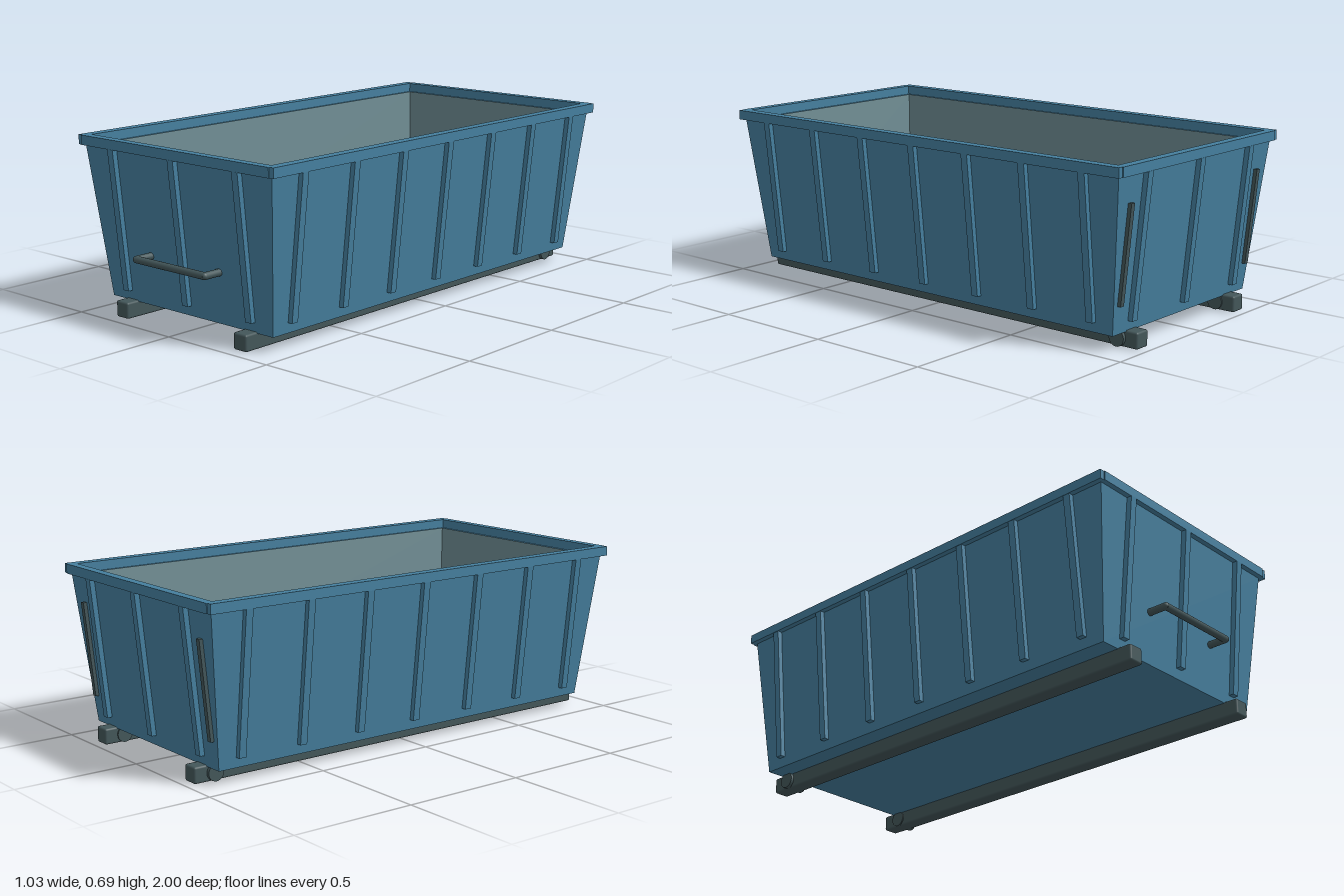
import * as THREE from 'three';
import { RoundedBoxGeometry } from 'three/addons/geometries/RoundedBoxGeometry.js';

const CZ = -0.01; // centre of the tub along z
const Y0 = 0.06, Y1 = 0.655;
const SLOPE = 0.106;

const material = (name, color) => {
  const m = new THREE.MeshStandardMaterial({ color });
  m.name = name;
  return m;
};

// Flat-faced skin through a series of rectangles [halfX, y, halfZ], optionally closed by a cap
function loft(rings, capFirst, capLast) {
  const pos = [];
  const corners = ([x, y, z]) => [[x, y, z], [x, y, -z], [-x, y, -z], [-x, y, z]];
  const quad = (a, b, c, d) => pos.push(...a, ...b, ...c, ...a, ...c, ...d);
  for (let i = 0; i + 1 < rings.length; i++) {
    const lo = corners(rings[i]), hi = corners(rings[i + 1]);
    for (let k = 0; k < 4; k++) {
      const n = (k + 1) % 4;
      quad(lo[k], lo[n], hi[n], hi[k]);
    }
  }
  if (capFirst) quad(...corners(rings[0]).reverse());
  if (capLast) quad(...corners(rings[rings.length - 1]));
  const g = new THREE.BufferGeometry();
  g.setAttribute('position', new THREE.Float32BufferAttribute(pos, 3));
  g.computeVertexNormals();
  return g;
}

// Upright bar leaning outward (+z) with the wall; z = 0 is the wall foot
function leaningBar(width, yLow, yHigh, proud) {
  const g = new THREE.BoxGeometry(width, yHigh - yLow, proud + 0.01);
  g.translate(0, (yLow + yHigh) / 2, (proud - 0.01) / 2);
  const p = g.attributes.position;
  for (let i = 0; i < p.count; i++) p.setZ(i, p.getZ(i) + (p.getY(i) - Y0) * SLOPE);
  g.computeVertexNormals();
  return g;
}

export function createModel() {
  const blue = material('blue paint', 0x457f9e);
  const grey = material('inner grey', 0x6b888e);
  const dark = material('dark steel', 0x435659);

  const model = new THREE.Group();
  model.name = 'skipContainer';
  const add = (name, geometry, mat, x = 0, y = 0, z = 0, parent = model) => {
    const mesh = new THREE.Mesh(geometry, mat);
    mesh.name = name;
    mesh.position.set(x, y, z);
    parent.add(mesh);
    return mesh;
  };

  // Tapered tub: painted outside with lip, grey lining inside
  add('tubShell', loft([[0.43, Y0, 0.903], [0.493, Y1, 0.965], [0.465, Y1, 0.937]], true, false), blue, 0, 0, CZ);
  add('tubLining', loft([[0.465, Y1, 0.937], [0.40, 0.09, 0.871]], false, true), grey, 0, 0, CZ);

  // Rim
  const rim = new THREE.Group();
  rim.name = 'rim';
  model.add(rim);
  for (const s of [-1, 1]) {
    add('rimSide', new THREE.BoxGeometry(0.04, 0.038, 1.962), blue, s * 0.495, 0.673, CZ, rim);
    add('rimEnd', new THREE.BoxGeometry(0.99, 0.038, 0.036), blue, 0, 0.673, CZ + s * 0.967, rim);
  }

  // Wall ribs
  const ribs = new THREE.Group();
  ribs.name = 'ribs';
  model.add(ribs);
  const ribGeo = leaningBar(0.03, 0.1, Y1, 0.02);
  for (const s of [-1, 1]) {
    for (let i = -3; i <= 3; i++) {
      add('sideRib', ribGeo, blue, s * 0.43, 0, CZ + i * 0.272, ribs).rotation.y = s * Math.PI / 2;
    }
    for (const x of [-0.33, 0, 0.33]) {
      add('endRib', ribGeo, blue, x, 0, CZ + s * 0.903, ribs).rotation.y = s > 0 ? 0 : Math.PI;
    }
  }

  // Upright grab bars at the back corners
  const grabGeo = leaningBar(0.02, 0.17, 0.55, 0.014);
  for (const s of [-1, 1]) {
    add('backGrabBar', grabGeo, dark, s * 0.41, 0, CZ - 0.903).rotation.y = Math.PI;
  }

  // Front pull handle: bar with two posts
  const handle = new THREE.Group();
  handle.name = 'frontHandle';
  model.add(handle);
  const r = 0.014;
  add('handleBar', new THREE.CylinderGeometry(r, r, 0.37, 16), dark, 0, 0.26, 0.986, handle).rotation.z = Math.PI / 2;
  for (const s of [-1, 1]) {
    add('handlePost', new THREE.CylinderGeometry(r, r, 0.08, 16), dark, s * 0.183, 0.26, 0.946, handle).rotation.x = Math.PI / 2;
    add('handleElbow', new THREE.SphereGeometry(r, 16, 10), dark, s * 0.183, 0.26, 0.986, handle);
  }

  // Skids with rear rollers
  for (const s of [-1, 1]) {
    add('skid', new RoundedBoxGeometry(0.066, 0.064, 1.915, 2, 0.008), dark, s * 0.318, 0.033, -0.008);
    add('roller', new THREE.CylinderGeometry(0.033, 0.033, 0.084, 24), dark, s * 0.322, 0.034, -0.88).rotation.z = Math.PI / 2;
  }

  return model;
}
